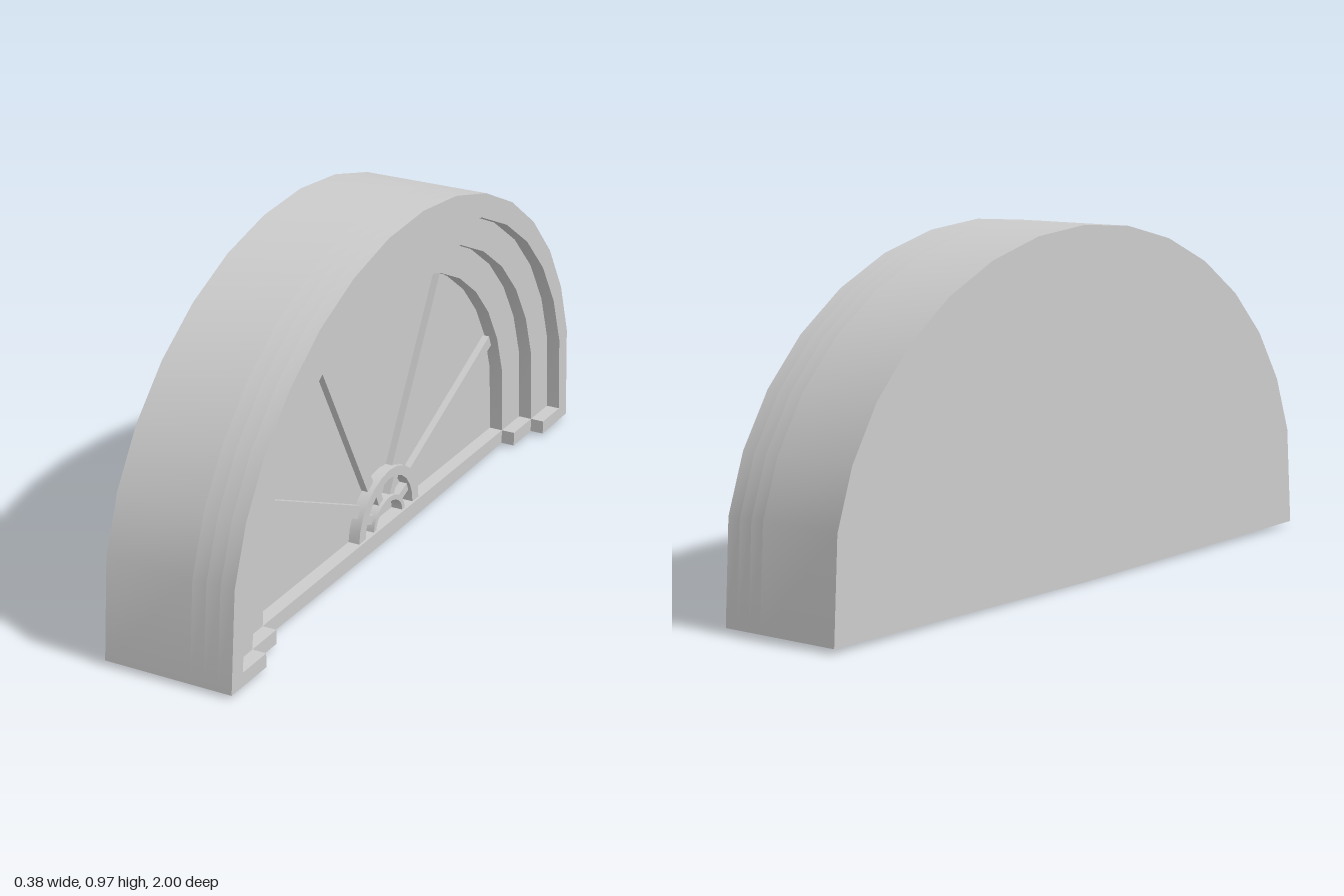
import * as THREE from 'three';
import { toCreasedNormals } from 'three/addons/utils/BufferGeometryUtils.js';

const SPRING = 0.13, SILL = 0.05;
const material = new THREE.MeshStandardMaterial({ color: 0xcccccc });

// Arch points from right foot over the top to left foot
function arch(half, top, foot) {
  const pts = [[half, foot]];
  for (let i = 1; i < 16; i++) {
    const a = (i * Math.PI) / 16;
    pts.push([half * Math.cos(a), SPRING + (top - SPRING) * Math.sin(a)]);
  }
  pts.push([-half, foot]);
  return pts.map(([u, v]) => new THREE.Vector2(u, v));
}

// Half ring standing on the sill
function halfRing(ro, ho, ri, hi) {
  const arc = (r, h) => Array.from({ length: 13 }, (_, i) => {
    const a = (i * Math.PI) / 12;
    return new THREE.Vector2(r * Math.cos(a), 0.045 + (h - 0.045) * Math.sin(a));
  });
  return new THREE.Shape([...arc(ro, ho), ...arc(ri, hi).reverse()]);
}

// Straight bar between two points
function bar(u1, v1, u2, v2, width) {
  const d = new THREE.Vector2(u2 - u1, v2 - v1).normalize().multiplyScalar(width / 2);
  return new THREE.Shape([
    new THREE.Vector2(u1 + d.y, v1 - d.x), new THREE.Vector2(u2 + d.y, v2 - d.x),
    new THREE.Vector2(u2 - d.y, v2 + d.x), new THREE.Vector2(u1 - d.y, v1 + d.x),
  ]);
}

export function createModel() {
  const model = new THREE.Group();
  model.name = 'fanWindow';
  const body = new THREE.Group();
  body.name = 'windowBody';
  model.add(body);

  // Extrude a shape from one depth to another, facing +x
  const add = (name, shape, back, front) => {
    let g = new THREE.ExtrudeGeometry(shape, { depth: front - back, bevelEnabled: false });
    g.translate(0, 0, back);
    g.rotateY(Math.PI / 2);
    g = toCreasedNormals(g, 0.5);
    const mesh = new THREE.Mesh(g, material);
    mesh.name = name;
    body.add(mesh);
  };

  const outer = () => arch(1, 0.97, 0.012);
  const bottom = (u) => 0.002 + 0.01 * Math.abs(u);
  const P = (u, v) => new THREE.Vector2(u, v);

  // Solid back panel
  add('backPanel', new THREE.Shape([...outer(), P(0, bottom(0))]), -0.185, 0.065);

  // Inner frame with a continuous sill
  const inner = new THREE.Shape([...outer(), P(0, bottom(0))]);
  inner.holes.push(new THREE.Path(arch(0.71, 0.74, SILL).reverse()));
  add('innerFrame', inner, 0.065, 0.105);

  // Stepped frames whose sill is cut back towards the middle
  const steps = [
    ['middleFrame', 0.83, 0.82, 0.71, 0.105, 0.145],
    ['outerFrame', 0.945, 0.9, 0.83, 0.145, 0.185],
  ];
  for (const [name, half, top, cut, back, front] of steps) {
    add(name, new THREE.Shape([
      ...outer(), P(-cut, bottom(cut)), P(-cut, SILL),
      ...arch(half, top, SILL).reverse(), P(cut, SILL), P(cut, bottom(cut)),
    ]), back, front);
  }

  // Hub rings
  add('hubRing', halfRing(0.177, 0.203, 0.14, 0.177), 0.06, 0.098);
  add('hubCore', halfRing(0.092, 0.12, 0.078, 0.105), 0.06, 0.098);

  // Long glazing bars
  const bars = [
    [-0.155, 0.135, -0.645, 0.355], [-0.09, 0.185, -0.365, 0.655],
    [0.05, 0.185, 0.325, 0.67], [0.155, 0.13, 0.65, 0.355],
  ];
  for (const b of bars) add('glazingBar', bar(...b, 0.036), 0.06, 0.085);

  // Short bars inside the hub
  for (const s of [-1, 1]) {
    add('hubBar', bar(s * 0.075, 0.08, s * 0.145, 0.105, 0.026), 0.06, 0.088);
    add('hubBar', bar(s * 0.03, 0.11, s * 0.06, 0.17, 0.026), 0.06, 0.088);
  }

  // Slight lean
  body.rotation.z = -0.0105;
  body.position.x = -0.005;
  return model;
}
